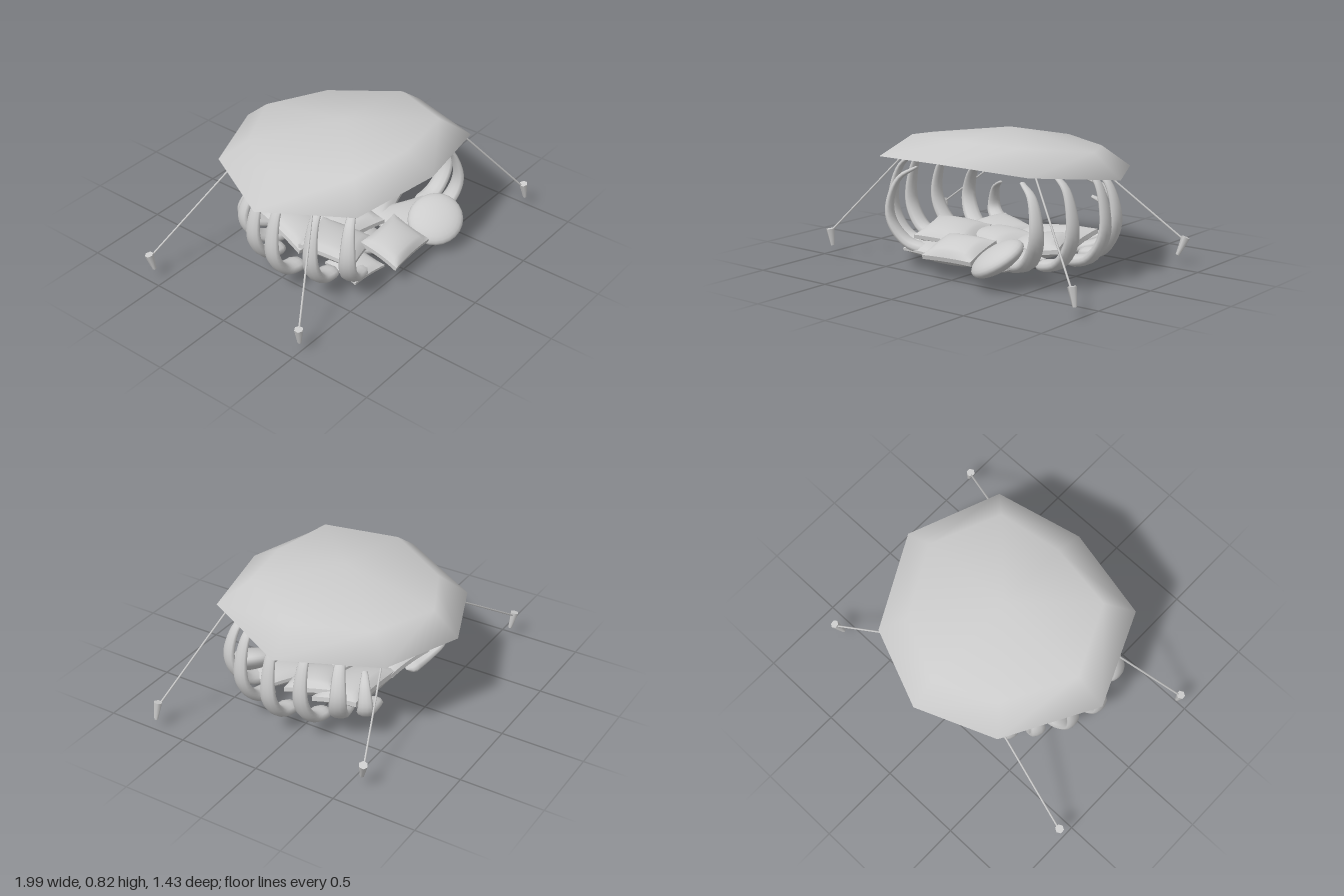
import * as THREE from 'three';

const material = new THREE.MeshStandardMaterial({ color: 0xcccccc, side: THREE.DoubleSide, roughness: 0.8 });
const V = (a) => new THREE.Vector3(...a);
const CX = 0.04; // the canopy and ribs are mirrored about this x

function addMesh(parent, name, geometry) {
  const mesh = new THREE.Mesh(geometry, material);
  mesh.name = name;
  parent.add(mesh);
  return mesh;
}

function indexedGeometry(positions, index) {
  const geometry = new THREE.BufferGeometry();
  geometry.setAttribute('position', new THREE.Float32BufferAttribute(positions, 3));
  geometry.setIndex(index);
  geometry.computeVertexNormals();
  return geometry;
}

// Rod between two points, with a radius at each end
function addRod(parent, name, from, to, rFrom, rTo, sides) {
  const a = V(from), b = V(to), dir = b.clone().sub(a);
  const mesh = addMesh(parent, name, new THREE.CylinderGeometry(rTo, rFrom, dir.length(), sides));
  mesh.position.copy(a).add(b).multiplyScalar(0.5);
  mesh.quaternion.setFromUnitVectors(new THREE.Vector3(0, 1, 0), dir.normalize());
}

// Surface from a centre point outwards through eight-point rings
function fanShell(centre, rings) {
  const index = [];
  for (let i = 0; i < 8; i++) {
    const j = (i + 1) % 8;
    index.push(0, 1 + j, 1 + i);
    for (let r = 1; r < rings.length; r++) {
      const a = 8 * r - 7, b = a + 8;
      index.push(a + i, a + j, b + j, a + i, b + j, b + i);
    }
  }
  return indexedGeometry([centre, ...rings.flat()].flat(), index);
}

function buildCanopy(parent) {
  const canopy = new THREE.Group();
  canopy.name = 'canopy';
  parent.add(canopy);
  // rim and shoulder, starting at the back and going round by the left
  const rim = [
    [0.04, 0.565, -0.715], [0.51, 0.565, -0.525], [0.8, 0.595, 0.01], [0.57, 0.66, 0.54],
    [0.04, 0.69, 0.65], [-0.5, 0.66, 0.54], [-0.73, 0.595, 0.01], [-0.43, 0.565, -0.525],
  ];
  const shoulder = [
    [0.04, 0.7, -0.56], [0.4, 0.692, -0.39], [0.62, 0.73, 0.01], [0.43, 0.785, 0.41],
    [0.04, 0.79, 0.47], [-0.36, 0.785, 0.41], [-0.54, 0.73, 0.01], [-0.32, 0.692, -0.39],
  ];
  // inner hem, a little inside the rim
  const hem = rim.map(([x, y, z], i) => {
    const s = shoulder[i];
    return [x + (s[0] - x) * 0.75, s[1] - 0.06, z + (s[2] - z) * 0.75];
  });
  addMesh(canopy, 'canopyCover', fanShell([0.04, 0.82, 0.02], [shoulder, rim, hem]));
  addMesh(canopy, 'canopyLining', fanShell([0.04, 0.75, 0.02], [hem]).scale(1, 1, 1));
}

// Flat, curved horn tapering from a broad base to a blunt tip
function ribGeometry(points) {
  const curve = new THREE.CatmullRomCurve3(points.map(V));
  const steps = 24, sides = 10;
  const first = curve.getPointAt(0), chord = curve.getPointAt(1).sub(first);
  const across = curve.getPointAt(0.5).sub(first).cross(chord).normalize();
  const positions = [], index = [];
  for (let i = 0; i <= steps; i++) {
    const t = i / steps;
    const p = curve.getPointAt(t);
    const out = curve.getTangentAt(t).cross(across).normalize();
    const cap = i === 0 ? 0.02 : i === 1 ? 0.8 : 1;
    const width = (0.046 * (1 - t * t) + 0.016) * cap;
    const depth = (0.03 * (1 - t) ** 0.8 + 0.008) * cap;
    for (let k = 0; k < sides; k++) {
      const a = (k / sides) * Math.PI * 2;
      const v = p.clone().addScaledVector(across, Math.cos(a) * width).addScaledVector(out, Math.sin(a) * depth);
      positions.push(v.x, v.y, v.z);
      if (i === steps) continue;
      const q = i * sides + k, n = i * sides + (k + 1) % sides;
      index.push(q, n, q + sides, n, n + sides, q + sides);
    }
  }
  // tip cap
  for (let k = 1; k < sides - 1; k++) index.push(steps * sides, steps * sides + k, steps * sides + k + 1);
  return indexedGeometry(positions, index);
}

function buildRibs(parent) {
  // base z, bulge x, bulge z, tip x, tip y, tip z (x measured from the mirror line)
  const ribs = [
    [0.38, 0.53, 0.47, 0.38, 0.595, 0.4],
    [0.27, 0.65, 0.305, 0.5, 0.645, 0.28],
    [0.08, 0.71, 0.08, 0.56, 0.66, 0.08],
    [-0.11, 0.66, -0.1, 0.5, 0.62, -0.09],
    [-0.17, 0.55, -0.275, 0.36, 0.54, -0.2],
    [-0.29, 0.44, -0.385, 0.34, 0.4, -0.32],
  ];
  const mix = (a, b, t) => a + (b - a) * t;
  for (const side of [1, -1]) {
    const group = new THREE.Group();
    group.name = side > 0 ? 'leftRibs' : 'rightRibs';
    parent.add(group);
    for (const [zb, xm, zm, xt, yt, zt] of ribs) {
      const at = (x, y, z) => [CX + side * x, y, z];
      const bend = Math.min(0.38, yt * 0.62);
      addMesh(group, 'rib', ribGeometry([
        at(xm - 0.26, 0.11, zb),
        at(xm - 0.1, 0.15, mix(zb, zm, 0.5)),
        at(xm - 0.015, mix(0.15, bend, 0.5), mix(zb, zm, 0.9)),
        at(xm, bend, zm),
        at(mix(xm, xt, 0.35), mix(bend, yt, 0.7), mix(zm, zt, 0.4)),
        at(xt, yt, zt),
      ]));
    }
  }
}

// Cushion that swells in the middle and thins to a narrow edge
function cushionGeometry(w, h, d) {
  const geometry = new THREE.BoxGeometry(2, 2, 2, 12, 1, 12);
  const p = geometry.attributes.position;
  for (let i = 0; i < p.count; i++) {
    const x = p.getX(i), z = p.getZ(i);
    const swell = Math.sqrt((1 - x * x) * (1 - z * z));
    const pinchX = 1 - 0.06 * (1 - z * z), pinchZ = 1 - 0.06 * (1 - x * x);
    p.setXYZ(i, x * w / 2 * pinchX, p.getY(i) * h / 2 * (0.2 + 0.8 * swell), z * d / 2 * pinchZ);
  }
  geometry.computeVertexNormals();
  return geometry;
}

function buildCushions(parent) {
  const group = new THREE.Group();
  group.name = 'cushions';
  parent.add(group);
  const place = (name, geometry, position, rotation) => {
    const mesh = addMesh(group, name, geometry);
    mesh.position.set(...position);
    mesh.rotation.set(...rotation);
  };
  // size, position, rotation
  const square = [
    [[0.34, 0.13, 0.26], [0, 0.165, 0.43], [0.3, 0.05, 0]],
    [[0.34, 0.12, 0.34], [-0.24, 0.195, 0.2], [0.15, 0.25, -0.12]],
    [[0.36, 0.13, 0.3], [-0.01, 0.165, 0.07], [0.06, -0.25, 0.05]],
    [[0.34, 0.13, 0.3], [0.28, 0.16, 0.06], [0.1, 0.3, 0.12]],
    [[0.5, 0.14, 0.29], [0.2, 0.15, -0.15], [0.18, 0.05, 0.1]],
    [[0.32, 0.13, 0.42], [-0.19, 0.145, -0.12], [0.12, -0.25, -0.1]],
    [[0.36, 0.1, 0.28], [0.27, 0.13, 0.31], [0.12, -0.5, 0.08]],
    [[0.24, 0.08, 0.24], [-0.27, 0.125, 0.35], [0.1, -0.1, 0]],
  ];
  for (const [size, position, rotation] of square) place('cushion', cushionGeometry(...size), position, rotation);
  // round cushions
  const round = [
    [[0.17, 0.065, 0.16], [0.32, 0.175, 0.49], [0.4, 0, 0.4]],
    [[0.125, 0.05, 0.115], [0.03, 0.063, 0.195], [0.3, 0, -0.15]],
  ];
  for (const [size, position, rotation] of round) {
    place('roundCushion', new THREE.SphereGeometry(1, 24, 14).scale(...size), position, rotation);
  }
}

function buildStays(parent) {
  // rope top, peg top, peg bottom
  const stays = [
    [[0.55, 0.665, 0.46], [0.963, 0.17, 0.69], [0.985, 0.065, 0.695]],
    [[-0.54, 0.64, 0.27], [-0.947, 0.165, 0.5], [-0.935, 0.065, 0.495]],
    [[0.31, 0.59, -0.41], [0.855, 0.17, -0.6], [0.82, 0.065, -0.57]],
    [[-0.34, 0.55, -0.45], [-0.975, 0.17, -0.585], [-0.955, 0.065, -0.57]],
  ];
  for (const [ropeTop, pegTop, pegBottom] of stays) {
    const group = new THREE.Group();
    group.name = 'stay';
    parent.add(group);
    addRod(group, 'rope', [pegTop[0], 0.145, pegTop[2]], ropeTop, 0.006, 0.006, 6);
    addRod(group, 'peg', pegBottom, pegTop, 0.012, 0.026, 6);
  }
}

export function createModel() {
  const model = new THREE.Group();
  model.name = 'shelter';
  buildCanopy(model);
  buildRibs(model);
  buildCushions(model);
  buildStays(model);
  return model;
}
